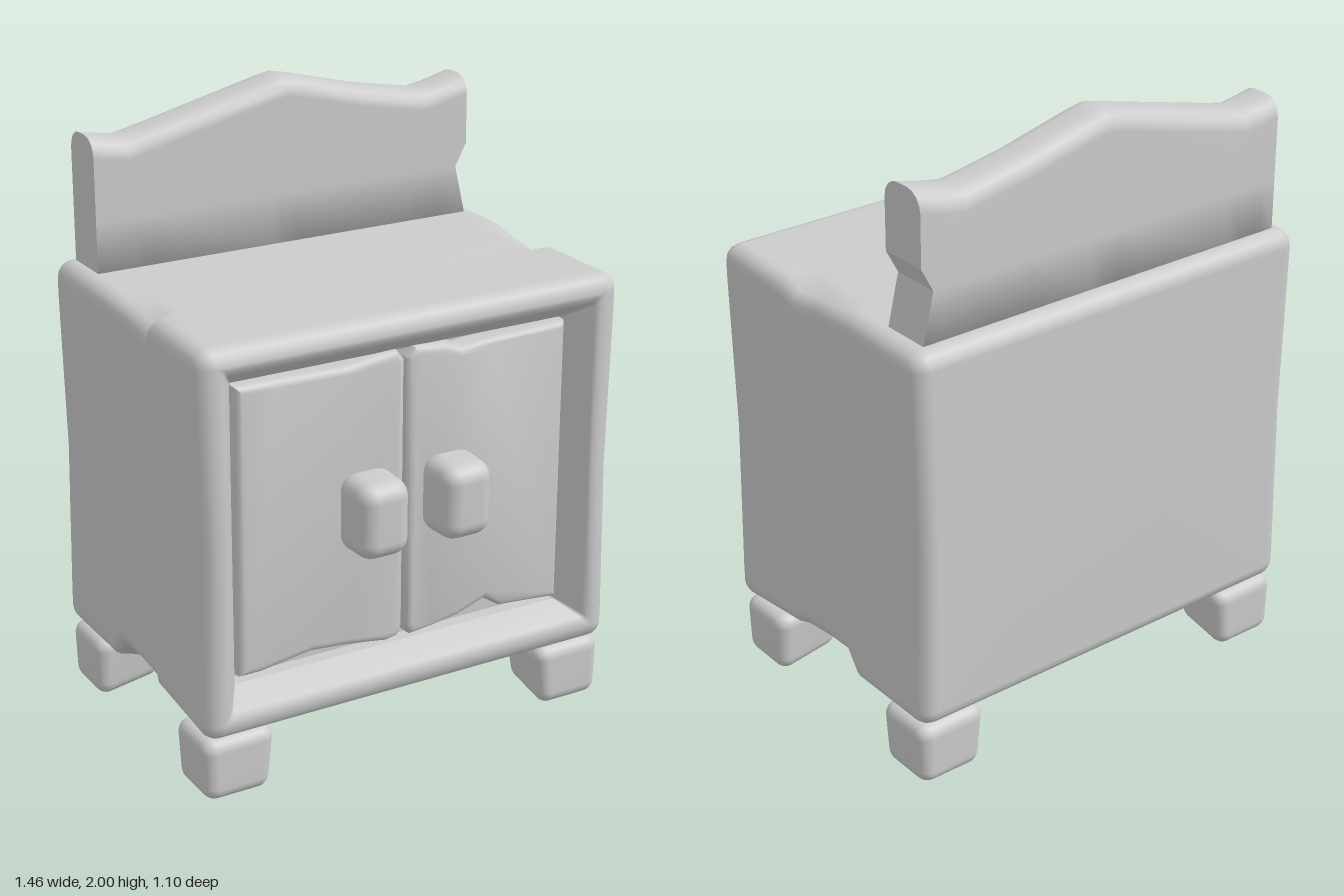
import * as THREE from 'three';
import { mergeVertices, toCreasedNormals } from 'three/addons/utils/BufferGeometryUtils.js';
import { RoundedBoxGeometry } from 'three/addons/geometries/RoundedBoxGeometry.js';

const material = new THREE.MeshStandardMaterial({ color: 0xcccccc, roughness: 0.8 });
const V = (x, y, z) => new THREE.Vector3(x, y, z);

function add(parent, name, geometry) {
  const mesh = new THREE.Mesh(geometry, material);
  mesh.name = name;
  parent.add(mesh);
  return mesh;
}

// Skin a sequence of closed loops that all have the same number of points
function loft(rings, flat = false) {
  const n = rings[0].length, index = [];
  for (let i = 0; i < rings.length - 1; i++) {
    for (let j = 0; j < n; j++) {
      const k = (j + 1) % n;
      const a = i * n + j, b = i * n + k, c = b + n, d = a + n;
      index.push(a, b, c, a, c, d);
    }
  }
  let geo = new THREE.BufferGeometry().setFromPoints(rings.flat());
  geo.setIndex(index);
  if (flat) geo = geo.toNonIndexed();
  geo.computeVertexNormals();
  return geo;
}

// Rounded rectangle loop in a plane of constant z
function rectRing(hx, y0, y1, r, z) {
  const pts = [], steps = 4;
  const corners = [[1, y0 + r], [1, y1 - r], [-1, y1 - r], [-1, y0 + r]];
  corners.forEach(([s, cy], q) => {
    for (let k = 0; k <= steps; k++) {
      const a = (q - 1 + k / steps) * Math.PI / 2;
      pts.push(V(s * (hx - r) + r * Math.cos(a), cy + r * Math.sin(a), z));
    }
    const [s2, cy2] = corners[(q + 1) % 4], a = q * Math.PI / 2;
    const end = V(s2 * (hx - r) + r * Math.cos(a), cy2 + r * Math.sin(a), z);
    const start = pts[pts.length - 1];
    for (const t of [0.05, 0.5, 0.95]) pts.push(start.clone().lerp(end, t));
  });
  return pts;
}

// Linear ramp up from a to peak p, then down to b
const bump = (z, a, p, b) => Math.max(0, Math.min((z - a) / (p - a), (b - z) / (b - p)));

// Worn side edges: pinched flanks and chipped long edges
function wear(p) {
  if (Math.abs(p.x) > 0.64) {
    p.x *= 1 - 0.02 * Math.max(bump(p.z, -0.2, -0.02, 0.13), bump(p.z, -0.1, 0.1, 0.14));
    if (p.y < 0.4) p.y += 0.065 * bump(p.z, -0.2, -0.14, 0.42);
    if (p.y > 1.3) p.y -= 0.035 * bump(p.z, -0.2, 0.1, 0.14);
    if (p.y > 0.7 && p.y < 1) p.x *= 0.985;
  }
  return p;
}

function buildBody(group) {
  const R = 0.055, back = -0.545, front = 0.475, rings = [];
  const at = (e, z) => rectRing(0.73 - e, 0.215 + e, 1.465 - e, Math.max(R - e, 0.004), z);
  const arc = [0, 1, 2, 3, 4].map(k => k * Math.PI / 8);
  const centre = at(0, back).map(() => V(0, 0.84, back));
  rings.push(centre);
  for (const a of arc) rings.push(at(R * (1 - Math.sin(a)), back + R * (1 - Math.cos(a))));
  for (const z of [-0.2, -0.14, -0.02, 0.1, 0.14]) rings.push(at(0, z));
  for (const a of arc) rings.push(at(R * (1 - Math.cos(a)), front - R * (1 - Math.sin(a))));
  rings.push(rectRing(0.655, 0.29, 1.4, 0.01, front - 0.002));
  // Sloping inner frame
  const lip = rectRing(0.585, 0.347, 1.322, 0.005, 0.375);
  rings.push(rectRing(0.64, 0.305, 1.38, 0.01, 0.463), lip);
  add(group, 'cabinetBody', loft(rings.map(r => r.map(wear))));
  // Recess behind the doors
  const inner = lip.map(p => V(p.x, p.y, 0.33));
  add(group, 'doorRecess', loft([lip, inner, inner.map(() => V(0, 0.84, 0.33))], true));
}

// Door slab with uneven top and bottom edges
function doorGeometry(outline) {
  const bevel = 0.025;
  const shape = new THREE.Shape(outline.map(([x, y]) => new THREE.Vector2(x, y)));
  const geo = new THREE.ExtrudeGeometry(shape, {
    depth: 0.05, bevelEnabled: true, bevelSize: bevel, bevelThickness: bevel,
    bevelOffset: -bevel, bevelSegments: 4
  });
  return toCreasedNormals(geo.translate(0, 0, 0.33), 0.6);
}

// Rounded block reshaped by a rule on its local coordinates
function softBlock(w, h, d, r, rule) {
  const geo = new RoundedBoxGeometry(w, h, d, 4, r);
  geo.deleteAttribute('uv');
  geo.deleteAttribute('normal');
  const merged = mergeVertices(geo, 1e-4), pos = merged.attributes.position, p = V(0, 0, 0);
  for (let i = 0; i < pos.count; i++) {
    rule(p.fromBufferAttribute(pos, i));
    pos.setXYZ(i, p.x, p.y, p.z);
  }
  merged.computeVertexNormals();
  return merged;
}

function buildBackboard(group) {
  const zb = -0.49, zf = -0.325, mid = (zb + zf) / 2, r = 0.06;
  const crest = [[-0.67, 1.89], [-0.62, 1.88], [-0.55, 1.87], [-0.48, 1.885], [-0.05, 1.99], [0, 2],
    [0.05, 1.99], [0.28, 1.932], [0.45, 1.9], [0.51, 1.89], [0.57, 1.9], [0.67, 1.925]];
  const rings = crest.map(([x, top], i) => {
    // The left end carries a notch
    const dent = i === crest.length - 1 ? 0.04 : 0;
    const rows = [[1.455, 0], [1.625, dent], [1.7, 0]];
    const pts = rows.map(([y, d]) => V(x - d, y, zb));
    for (const [c, a0] of [[zb + r, Math.PI], [zf - r, Math.PI / 2]]) {
      for (let k = 0; k <= 4; k++) {
        const a = a0 - k * Math.PI / 8;
        pts.push(V(x, top - r + r * Math.sin(a), c + r * Math.cos(a)));
      }
    }
    rows.reverse().forEach(([y, d]) => pts.push(V(x - d, y, zf)));
    return pts;
  });
  const flatten = ring => ring.map(p => V(p.x, p.y, mid));
  const last = rings[rings.length - 1];
  add(group, 'backboard', loft(rings));
  add(group, 'backboardRightEnd', loft([flatten(rings[0]), rings[0]], true));
  add(group, 'backboardLeftEnd', loft([last, flatten(last)], true));
}

export function createModel() {
  const group = new THREE.Group();
  group.name = 'cabinet';
  buildBody(group);
  buildBackboard(group);

  // Doors
  add(group, 'leftDoor', doorGeometry([[0.004, 0.4], [0.025, 0.367], [0.1, 0.375], [0.2, 0.39], [0.3, 0.425],
    [0.36, 0.385], [0.578, 0.365], [0.578, 1.315], [0.3, 1.305], [0.2, 1.295], [0.14, 1.318], [0.03, 1.328], [0.004, 1.295]]));
  add(group, 'rightDoor', doorGeometry([[-0.578, 0.375], [-0.5, 0.375], [-0.33, 0.4], [-0.2, 0.388], [-0.06, 0.367],
    [-0.02, 0.375], [-0.004, 0.41], [-0.004, 1.295], [-0.03, 1.328], [-0.1, 1.322], [-0.2, 1.308], [-0.45, 1.312], [-0.578, 1.312]]));

  for (const s of [1, -1]) {
    const side = s > 0 ? 'left' : 'right';
    // Handles, narrowing slightly toward the front
    const handle = softBlock(0.178, 0.25, 0.18, 0.055, p => {
      p.x *= 1 - 0.6 * Math.max(0, p.z);
      p.y *= 1 - 0.5 * Math.max(0, p.z);
    });
    add(group, side + 'Handle', handle).position.set(s * 0.146, 0.845, 0.46);

    // Lumpy feet, with the inner lower corner cut back
    for (const f of [1, -1]) {
      const foot = softBlock(0.25, 0.21, 0.22, 0.045, p => {
        const low = Math.max(0, 0.5 - p.y / 0.21);
        if (p.x * s < 0) p.x *= 1 - 0.2 * low;
        else p.x *= 1 - 0.06 * low;
        if (p.z * f < 0) p.z *= 1 - 0.14 * low;
        if (p.x * s < 0 && p.z * f < 0) p.y += 0.025 * low;
      });
      add(group, side + (f > 0 ? 'FrontFoot' : 'BackFoot'), foot)
        .position.set(s * 0.604, 0.107, f > 0 ? 0.344 : -0.423);
    }
  }
  return group;
}
